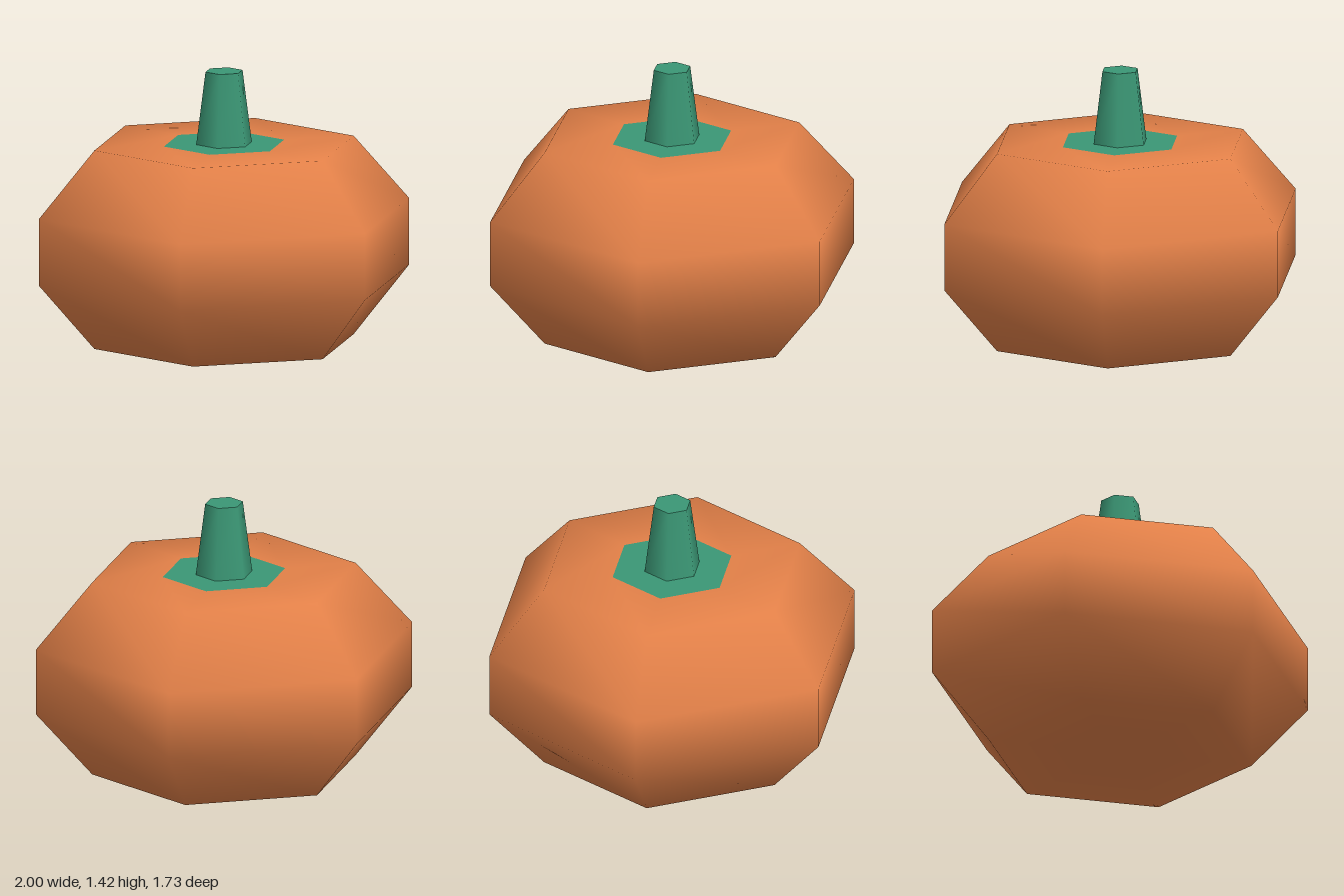
import * as THREE from 'three';

export function createModel() {
  const orange = new THREE.MeshStandardMaterial({ color: 0xe28048 });
  orange.name = 'pumpkinOrange';
  const green = new THREE.MeshStandardMaterial({ color: 0x3b9775 });
  green.name = 'stemGreen';

  const group = new THREE.Group();
  group.name = 'pumpkin';

  // Adds a six-sided part, turned so that two corners lie on the x axis
  const addPart = (name, geometry, material, y = 0) => {
    geometry.rotateY(Math.PI / 6);
    const mesh = new THREE.Mesh(geometry, material);
    mesh.name = name;
    mesh.position.y = y;
    group.add(mesh);
  };

  const top = 1.045;

  // Body: smooth-shaded hexagonal lathe, open under the leaf patch
  const profile = [[0, 0], [0.325, 0], [0.7, 0], [1, 0.35], [1, 0.7], [0.7, top], [0.325, top]]
    .map(([r, y]) => new THREE.Vector2(r, y));
  addPart('body', new THREE.LatheGeometry(profile, 6), orange);

  // Flat leaf patch closing the top
  const patch = new THREE.CircleGeometry(0.325, 6);
  patch.rotateX(-Math.PI / 2);
  patch.rotateY(-Math.PI / 6);
  addPart('leafPatch', patch, green, top);

  // Tapered stem
  const stemHeight = 0.38;
  addPart('stem', new THREE.CylinderGeometry(0.1, 0.15, stemHeight, 6), green, top + stemHeight / 2);

  return group;
}
